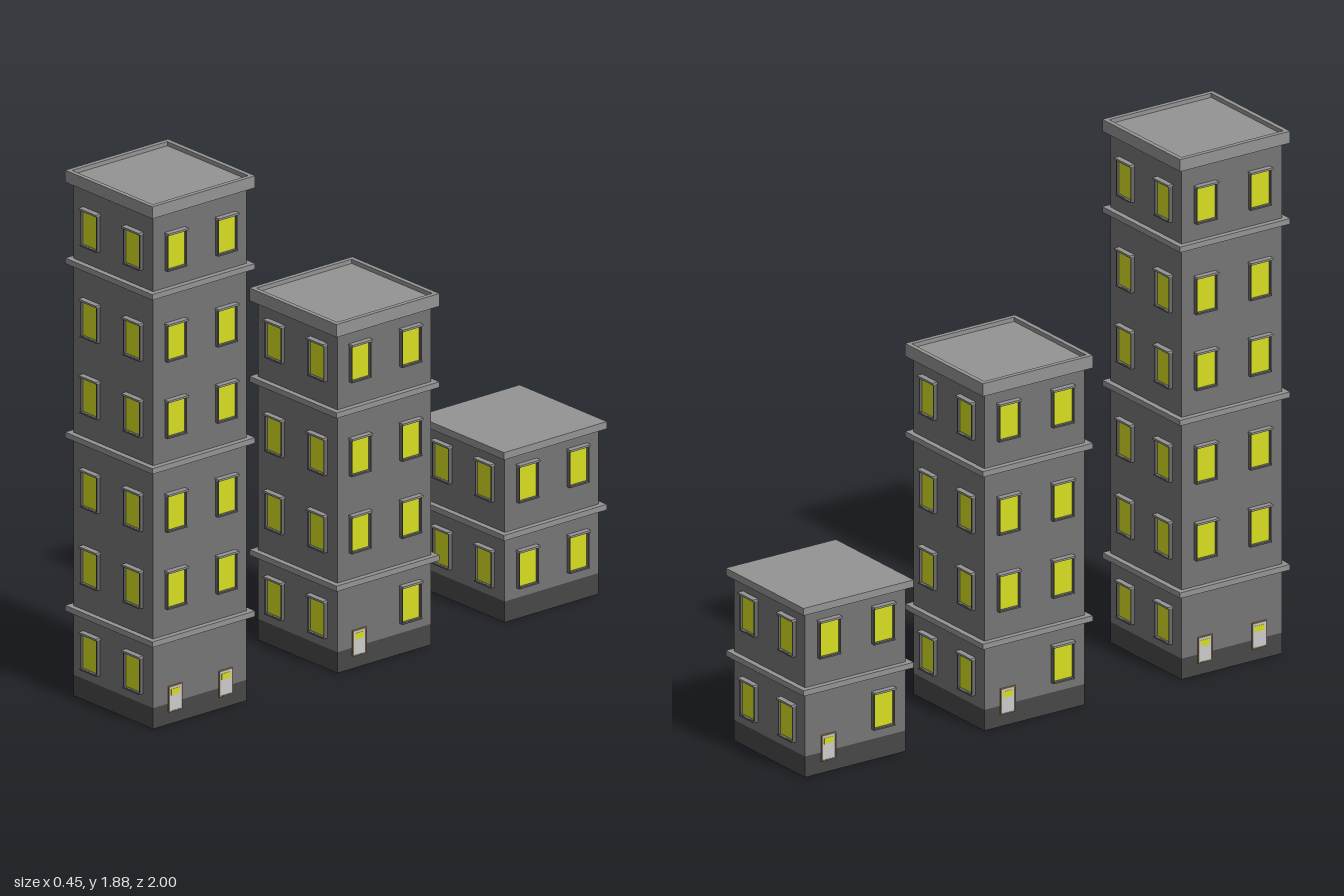
import * as THREE from 'three';

const paint = (color) => new THREE.MeshStandardMaterial({ color });
const WALL = paint(0x757575), BASE = paint(0x474747), TRIM = paint(0x949494);
const FRAME = paint(0x6a6a6a), GLASS = paint(0xd6de21), DOOR = paint(0xbdbdbd), WOOD = paint(0xa08560);

const HALF = 0.206;      // half width of the walls
const LEDGE = 0.226;     // half width of bands and cornices
const OFFSET = 0.111;    // window columns from the middle of a wall
const ROWS = [0.178, 0.486, 0.763, 1.1, 1.374, 1.7];
const BANDS = [0.313, 0.935, 1.56];

function box(name, w, h, d, mat, x = 0, y = 0, z = 0) {
  const mesh = new THREE.Mesh(new THREE.BoxGeometry(w, h, d), mat);
  mesh.name = name;
  mesh.position.set(x, y, z);
  return mesh;
}

// Rectangular ring, extruded along +z
function ring(name, w, h, border, depth, mat) {
  const rect = (target, a, b) =>
    target.moveTo(-a, -b).lineTo(a, -b).lineTo(a, b).lineTo(-a, b).closePath();
  const shape = rect(new THREE.Shape(), w / 2, h / 2);
  shape.holes.push(rect(new THREE.Path(), w / 2 - border, h / 2 - border));
  const mesh = new THREE.Mesh(new THREE.ExtrudeGeometry(shape, { depth, bevelEnabled: false }), mat);
  mesh.name = name;
  return mesh;
}

// Window facing +z, with its back at z = 0
function makeWindow() {
  const g = new THREE.Group();
  g.name = 'window';
  g.add(
    ring('windowFrame', 0.086, 0.132, 0.004, 0.014, FRAME),
    box('pane', 0.08, 0.126, 0.006, GLASS, 0, 0, 0.002),
    box('lintel', 0.09, 0.007, 0.021, TRIM, 0, 0.066, 0.0105),
    box('sill', 0.086, 0.005, 0.017, FRAME, 0, -0.065, 0.0085),
  );
  return g;
}

// Door facing +z, with a small lit window
function makeDoor() {
  const g = new THREE.Group();
  g.name = 'door';
  g.add(
    ring('doorFrame', 0.06, 0.094, 0.004, 0.006, WOOD),
    box('doorLeaf', 0.053, 0.087, 0.006, DOOR, 0, 0, 0.001),
    box('doorWindow', 0.038, 0.022, 0.004, GLASS, 0, 0.024, 0.003),
  );
  return g;
}

// One wall: two columns of openings; doors lists the columns with a door at ground level
function makeWall(rows, doors) {
  const g = new THREE.Group();
  g.name = 'wallOpenings';
  for (let row = 0; row < rows; row++) {
    for (const side of [-1, 1]) {
      const isDoor = row === 0 && doors.includes(side);
      const part = isDoor ? makeDoor() : makeWindow();
      part.position.set(side * OFFSET, isDoor ? 0.09 : ROWS[row], HALF);
      g.add(part);
    }
  }
  return g;
}

function makeTower({ name, z, rows, top, cornice, rim, doors }) {
  const g = new THREE.Group();
  g.name = name;
  g.position.z = z;
  const wallTop = top - cornice, baseTop = 0.075;
  g.add(
    box('base', HALF * 2, baseTop, HALF * 2, BASE, 0, baseTop / 2),
    box('walls', HALF * 2, wallTop - baseTop, HALF * 2, WALL, 0, (wallTop + baseTop) / 2),
  );
  for (const y of BANDS.filter((b) => b < wallTop - 0.1)) {
    g.add(box('floorBand', LEDGE * 2, 0.02, LEDGE * 2, TRIM, 0, y));
  }
  // Cornice: raised rim around a sunken roof, or a plain slab
  if (rim) {
    const edge = ring('cornice', LEDGE * 2, LEDGE * 2, 0.017, cornice, TRIM);
    edge.rotation.x = -Math.PI / 2;
    edge.position.y = wallTop;
    const h = cornice - 0.015;
    g.add(edge, box('roof', 0.42, h, 0.42, TRIM, 0, wallTop + h / 2));
  } else {
    g.add(box('roofSlab', LEDGE * 2, cornice, LEDGE * 2, TRIM, 0, top - cornice / 2));
  }
  // Walls in order: front, left, back, right
  for (let i = 0; i < 4; i++) {
    const wall = makeWall(rows, doors[i]);
    wall.rotation.y = (i * Math.PI) / 2;
    g.add(wall);
  }
  return g;
}

export function createModel() {
  const model = new THREE.Group();
  model.name = 'apartmentBlocks';
  model.add(
    makeTower({ name: 'tallTower', z: 0.774, rows: 6, top: 1.885, cornice: 0.043, rim: true, doors: [[], [-1, 1], [], [-1, 1]] }),
    makeTower({ name: 'middleTower', z: -0.036, rows: 4, top: 1.262, cornice: 0.046, rim: true, doors: [[], [-1], [], [-1]] }),
    makeTower({ name: 'lowBlock', z: -0.772, rows: 2, top: 0.62, cornice: 0.026, rim: false, doors: [[], [], [], [-1]] }),
  );
  return model;
}
